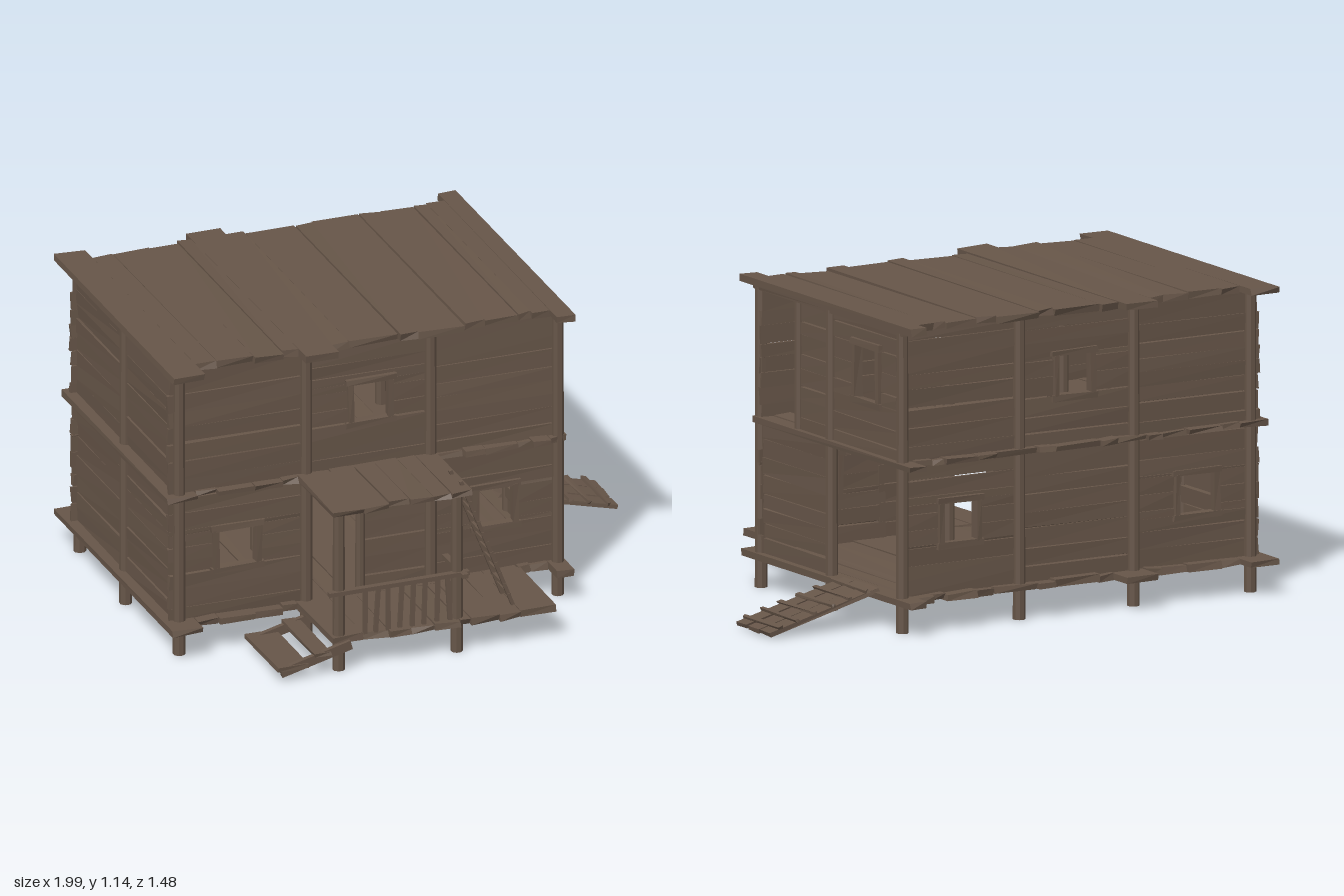
import * as THREE from 'three';

const wood = new THREE.MeshStandardMaterial({ color: 0x665548, flatShading: true });

// Small seeded generator for the uneven carpentry
let seed = 7;
const rnd = () => {
  seed = (seed * 16807) % 2147483647;
  return seed / 2147483647;
};
const vary = (a) => (rnd() * 2 - 1) * a;

function group(parent, name) {
  const g = new THREE.Group();
  g.name = name;
  parent.add(g);
  return g;
}

// Rough board between two corners; jitter moves each of its eight corners
function board(parent, name, a, b, jitter = [0, 0, 0]) {
  const size = a.map((v, i) => b[i] - v);
  const geo = new THREE.BoxGeometry(...size);
  const shift = Array.from({ length: 8 }, () => jitter.map((j) => vary(j)));
  const p = geo.attributes.position;
  for (let i = 0; i < p.count; i++) {
    const x = p.getX(i), y = p.getY(i), z = p.getZ(i);
    const s = shift[(x > 0 ? 1 : 0) + (y > 0 ? 2 : 0) + (z > 0 ? 4 : 0)];
    p.setXYZ(i, x + s[0], y + s[1], z + s[2]);
  }
  geo.computeVertexNormals();
  const m = new THREE.Mesh(geo, wood);
  m.name = name;
  m.position.set(...a.map((v, i) => (v + b[i]) / 2));
  parent.add(m);
  return m;
}

function post(parent, name, x, z, y0, y1, r = 0.023) {
  const m = new THREE.Mesh(new THREE.CylinderGeometry(r * 0.92, r, y1 - y0, 8), wood);
  m.name = name;
  m.position.set(x, (y0 + y1) / 2, z);
  m.rotation.y = Math.PI / 8;
  parent.add(m);
}

// Bar of rectangular section from one point to another
function bar(parent, name, from, to, w, d) {
  const a = new THREE.Vector3(...from), b = new THREE.Vector3(...to);
  const dir = b.clone().sub(a);
  const m = new THREE.Mesh(new THREE.BoxGeometry(w, dir.length(), d), wood);
  m.name = name;
  m.position.copy(a).add(b).multiplyScalar(0.5);
  m.quaternion.setFromUnitVectors(new THREE.Vector3(0, 1, 0), dir.normalize());
  parent.add(m);
}

// Boards running front to back; edges are the seams in x
function deck(parent, name, edges, y, thick, ends) {
  const g = group(parent, name);
  for (let i = 0; i < edges.length - 1; i++) {
    const [z0, z1] = ends(i, edges[i]);
    const lift = vary(0.004);
    board(g, 'deckBoard', [edges[i] + 0.001, y - thick + lift, z0], [edges[i + 1] - 0.001, y + lift, z1],
      [0.002, 0.003, 0.008]);
  }
}

// Rectangle minus a hole [u0, u1, y0, y1], as up to four rectangles
function cut([u0, u1, y0, y1], [a, b, c, d]) {
  if (a >= u1 || b <= u0 || c >= y1 || d <= y0) return [[u0, u1, y0, y1]];
  const lo = Math.max(y0, c), hi = Math.min(y1, d);
  return [[u0, u1, y0, lo], [u0, u1, hi, y1], [u0, a, lo, hi], [b, u1, lo, hi]]
    .filter((r) => r[1] - r[0] > 0.004 && r[3] - r[2] > 0.004);
}

// Boarded wall, outward along local +z, with openings and framed windows
function wall(parent, name, angle, depth, seams, openings, windows) {
  const g = group(parent, name);
  g.rotation.y = angle;
  for (const [base, top] of [[0.125, 0.605], [0.615, 1.105]]) {
    for (let s = 0; s < seams.length - 1; s++) {
      let y = base;
      while (y < top - 0.01) {
        let next = y + 0.05 + rnd() * 0.025;
        if (top - next < 0.03) next = top;
        const gap = rnd() < 0.3 ? 0.005 : 0.001;
        const over = () => 0.006 + rnd() * 0.012;
        let parts = [[seams[s] - over(), seams[s + 1] + over(), y, next - gap]];
        for (const h of [...openings, ...windows]) parts = parts.flatMap((r) => cut(r, h));
        const d = depth + vary(0.004);
        for (const r of parts) {
          const whole = r[3] - r[2] > 0.03 && r[1] - r[0] > 0.4;
          board(g, 'wallBoard', [r[0], r[2], d - 0.008], [r[1], r[3], d + 0.008],
            whole ? [0.004, 0.003, 0.003] : [0, 0.001, 0.002]);
        }
        y = next;
      }
    }
  }
  for (const [a, b, c, d] of windows) {
    const f = group(g, 'windowFrame'), z0 = depth - 0.014, z1 = depth + 0.022, j = [0.003, 0.003, 0.002];
    for (const u of [a - 0.018, b - 0.004]) board(f, 'frameSide', [u, c, z0], [u + 0.022, d, z1], j);
    for (const y of [c - 0.018, d - 0.004]) board(f, 'frameRail', [a - 0.026, y, z0], [b + 0.026, y + 0.022, z1], j);
  }
}

export function createModel() {
  seed = 7;
  const model = new THREE.Group();
  model.name = 'woodenHut';

  // Posts
  const xs = [-0.94, -0.45, 0.03, 0.52], zs = [-0.63, -0.14, 0.35];
  const posts = group(model, 'posts');
  for (const x of xs) for (const z of zs) {
    post(posts, 'post', x === -0.94 && z === -0.14 ? -0.955 : x, z, 0, 1.11);
  }
  post(posts, 'doorPost', -0.24, 0.345, 0.12, 0.61, 0.018);
  post(posts, 'upperDoorPost', 0.52, 0.085, 0.61, 1.1, 0.018);

  // Walls
  const windows = [[-0.79, -0.64, 0.31, 0.46], [0.21, 0.35, 0.31, 0.46], [-0.27, -0.13, 0.8, 0.95]];
  wall(model, 'frontWall', 0, 0.335, [-0.965, -0.45, 0.03, 0.52], [[-0.45, -0.24, 0.12, 0.61]], windows);
  wall(model, 'backWall', Math.PI, 0.62, [-0.52, -0.03, 0.45, 0.965], [],
    windows.map(([a, b, c, d]) => [-b, -a, c, d]));
  wall(model, 'leftWall', Math.PI / 2, 0.515, [-0.34, 0.14, 0.62],
    [[0.14, 0.7, 0.12, 0.61], [-0.4, -0.085, 0.61, 1.11]], [[0.32, 0.47, 0.81, 1.01]]);
  wall(model, 'rightWall', -Math.PI / 2, 0.95, [-0.62, -0.14, 0.34], [], []);

  // Roof and floors
  const edges = [-1, -0.88, -0.8, -0.66, -0.55, -0.49, -0.36, -0.29, -0.1, -0.03, 0.15, 0.23, 0.36, 0.41, 0.48, 0.55];
  const long = [0, 5, 14];
  const plain = () => [-0.665 + vary(0.015), 0.375 + vary(0.015)];
  deck(model, 'roof', edges, 1.13, 0.026, (i) => (long.includes(i) ? [-0.735, 0.45] : plain()));
  deck(model, 'upperFloor', edges, 0.628, 0.02, (i) => (i === 14 ? [-0.735, 0.37] : plain()));
  deck(model, 'lowerFloor', edges, 0.132, 0.024, (i) => (long.includes(i) ? [-0.735, 0.44] : plain()));
  for (const x of [-0.965, 0.515]) {
    board(model, 'roofBeam', [x, 1.09, -0.66], [x + 0.022, 1.11, 0.38], [0.002, 0.002, 0.005]);
  }

  // Porch
  const porch = group(model, 'porch');
  deck(porch, 'porchDeck', [-0.49, -0.37, -0.27, -0.19, -0.1, 0.0, 0.04, 0.15, 0.23, 0.37], 0.134, 0.024,
    () => [0.36, 0.72 + vary(0.012)]);
  deck(porch, 'porchRoof', [-0.49, -0.37, -0.27, -0.19, -0.1, -0.03, 0.05], 0.63, 0.02,
    () => [0.36, 0.71 + vary(0.01)]);
  for (const x of [-0.455, 0.0]) post(porch, 'porchPost', x, 0.685, 0, 0.615);

  // Railing
  const rail = group(porch, 'railing');
  bar(rail, 'handrail', [-0.5, 0.305, 0.7], [0.04, 0.308, 0.7], 0.016, 0.024);
  bar(rail, 'sideRail', [0.015, 0.305, 0.53], [0.015, 0.308, 0.735], 0.022, 0.016);
  for (let i = 0; i < 8; i++) {
    const x = -0.36 + i * 0.046;
    bar(rail, 'baluster', [x + vary(0.006), 0.13, 0.7], [x + vary(0.006), 0.3, 0.7], 0.016, 0.012);
  }

  // Ladder
  const ladder = group(porch, 'ladder');
  for (const z of [0.555, 0.66]) bar(ladder, 'ladderSide', [0.225, 0.135, z], [0.025, 0.65, z], 0.013, 0.013);
  for (let i = 1; i < 12; i++) {
    const t = i / 12, x = 0.225 - 0.2 * t, y = 0.135 + 0.515 * t;
    bar(ladder, 'rung', [x, y + vary(0.004), 0.545], [x, y + vary(0.004), 0.67], 0.012, 0.012);
  }

  // Porch steps
  const steps = group(porch, 'steps');
  for (const z of [0.42, 0.715]) bar(steps, 'stringer', [-0.69, 0.035, z], [-0.42, 0.105, z], 0.035, 0.018);
  board(steps, 'lowerTread', [-0.705, 0.045, 0.4], [-0.59, 0.06, 0.73], [0.004, 0.002, 0.004]);
  board(steps, 'upperTread', [-0.565, 0.08, 0.405], [-0.5, 0.095, 0.73], [0.004, 0.002, 0.004]);

  // Side ramp
  const ramp = group(model, 'ramp');
  ramp.position.set(0.53, 0.135, 0);
  ramp.rotation.z = -0.255;
  for (const [z0, z1] of [[-0.485, -0.415], [-0.41, -0.33], [-0.315, -0.25]]) {
    board(ramp, 'rampBoard', [0, -0.008, z0], [0.47, 0.008, z1], [0.006, 0.002, 0.003]);
  }
  for (let i = 0; i < 6; i++) {
    const x = 0.04 + i * 0.076;
    board(ramp, 'rampCleat', [x, 0.006, -0.49], [x + 0.016, 0.018, -0.24], [0.004, 0.002, 0.006]);
  }
  return model;
}
